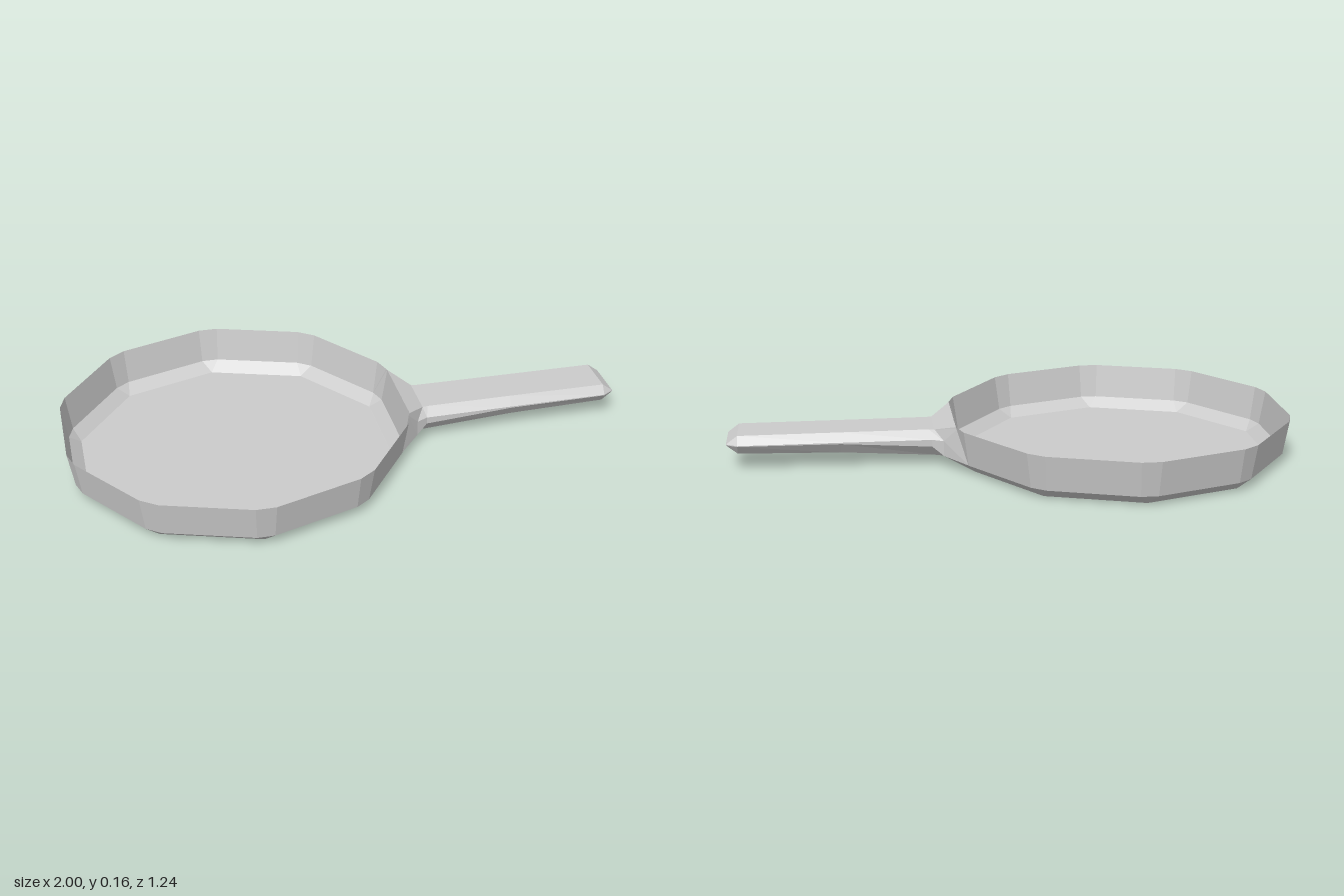
import * as THREE from 'three';

// Skins a list of equal-length rings, counter-clockwise about the travel direction
function loft(rings, capStart) {
  const pos = [];
  const tri = (a, b, c) => {
    const area = b.clone().sub(a).cross(c.clone().sub(a)).length();
    if (area > 1e-7) for (const p of [a, b, c]) pos.push(p.x, p.y, p.z);
  };
  for (let i = 0; i < rings.length - 1; i++) {
    const r = rings[i], s = rings[i + 1], n = r.length;
    for (let j = 0; j < n; j++) {
      const k = (j + 1) % n;
      tri(r[j], r[k], s[k]);
      tri(r[j], s[k], s[j]);
    }
  }
  if (capStart) {
    const r = rings[0];
    for (let j = 1; j < r.length - 1; j++) tri(r[0], r[j + 1], r[j]);
  }
  const geo = new THREE.BufferGeometry();
  geo.setAttribute('position', new THREE.Float32BufferAttribute(pos, 3));
  geo.computeVertexNormals();
  return geo;
}

// Ten-sided ring whose corners are cut by a half width
function panRing(radius, cut, y) {
  const ring = [];
  for (let i = 0; i < 10; i++) {
    const a = Math.PI / 10 + (i * Math.PI) / 5;
    for (const t of [-cut, cut]) {
      ring.push(new THREE.Vector3(
        -0.4 + radius * Math.cos(a) - t * Math.sin(a),
        y,
        -(radius * Math.sin(a) + t * Math.cos(a))
      ));
    }
  }
  return ring;
}

// Handle section: top, upper side, lower side and bottom points, mirrored in z
function handleRing(half) {
  const left = half.map(([x, y, z]) => new THREE.Vector3(x, y, z));
  const right = half.map(([x, y, z]) => new THREE.Vector3(x, y, -z)).reverse();
  return [...left, ...right];
}

export function createModel() {
  const group = new THREE.Group();
  const material = new THREE.MeshStandardMaterial({
    color: 0xcccccc, flatShading: true, side: THREE.DoubleSide,
  });
  const add = (name, geo) => {
    const mesh = new THREE.Mesh(geo, material);
    mesh.name = name;
    group.add(mesh);
  };

  // Thin open pan: flat floor, bevelled foot, flared wall
  add('pan', loft([
    panRing(0.565, 0, 0),
    panRing(0.6, 0.03, 0.035),
    panRing(0.62, 0.035, 0.16),
  ], true));

  // Handle: wide root on the pan wall, narrowing to a wedge tip
  add('handle', loft([
    [[0.2, 0.16, 0.158], [0.195, 0.155, 0.165], [0.161, 0.035, 0.213], [0.137, 0, 0.175]],
    [[0.27, 0.13, 0.08], [0.24, 0.1, 0.127], [0.24, 0.045, 0.127], [0.22, 0.03, 0.085]],
    [[0.29, 0.13, 0.077], [0.28, 0.1, 0.107], [0.28, 0.075, 0.107], [0.27, 0.035, 0.077]],
    [[0.6, 0.13, 0.076], [0.6, 0.1, 0.103], [0.6, 0.095, 0.103], [0.6, 0.056, 0.076]],
    [[0.96, 0.13, 0.076], [0.96, 0.1, 0.1], [0.96, 0.097, 0.1], [0.96, 0.065, 0.076]],
    [[1, 0.1, 0.076], [1, 0.1, 0.076], [1, 0.097, 0.076], [1, 0.097, 0.076]],
  ].map(handleRing), false));

  return group;
}
